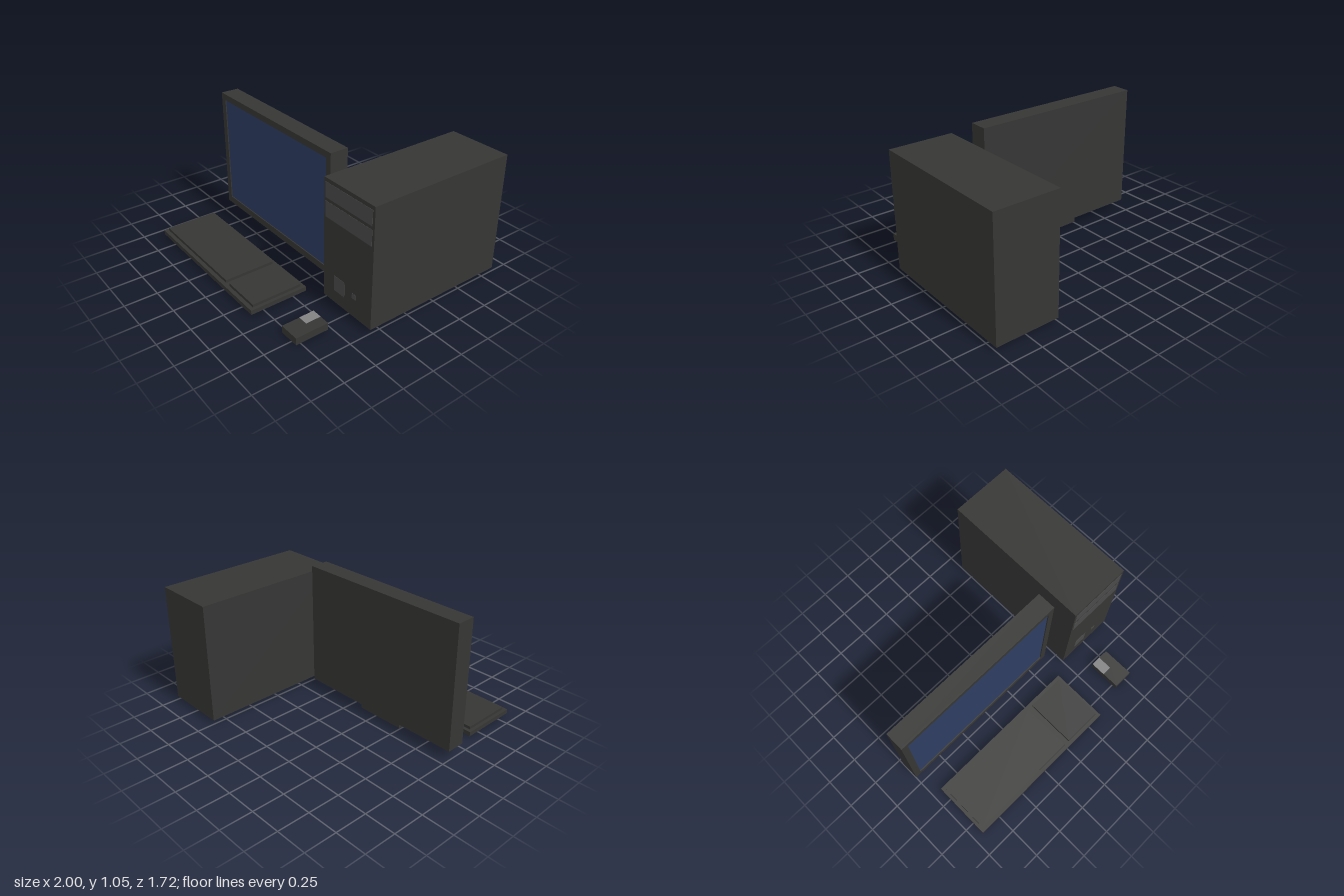
import * as THREE from 'three';

const material = (color) => new THREE.MeshStandardMaterial({ color });

export function createModel() {
  const model = new THREE.Group();
  const dark = material(0x363635);
  const panel = material(0x4a4a4a);
  const light = material(0x828282);
  const blue = material(0x2d3d61);

  const addGroup = (name) => {
    const group = new THREE.Group();
    group.name = name;
    model.add(group);
    return group;
  };

  // Box given by its minimum and maximum on each axis
  const addBox = (parent, name, mat, [x0, x1], [y0, y1], [z0, z1]) => {
    const mesh = new THREE.Mesh(new THREE.BoxGeometry(x1 - x0, y1 - y0, z1 - z0), mat);
    mesh.position.set((x0 + x1) / 2, (y0 + y1) / 2, (z0 + z1) / 2);
    mesh.name = name;
    parent.add(mesh);
  };

  const rectangle = (Type, x0, x1, y0, y1) => new Type([
    new THREE.Vector2(x0, y0), new THREE.Vector2(x1, y0),
    new THREE.Vector2(x1, y1), new THREE.Vector2(x0, y1),
  ]);

  // Monitor: solid back, bezel around a slightly recessed screen, low foot
  const monitor = addGroup('monitor');
  addBox(monitor, 'monitorBack', dark, [-1, 0.405], [0.075, 1.05], [0.06, 0.19]);
  const outline = rectangle(THREE.Shape, -1, 0.405, 0.075, 1.05);
  outline.holes.push(rectangle(THREE.Path, -0.95, 0.355, 0.13, 1.0));
  const bezel = new THREE.Mesh(
    new THREE.ExtrudeGeometry(outline, { depth: 0.015, bevelEnabled: false }), dark);
  bezel.position.z = 0.19;
  bezel.name = 'bezel';
  monitor.add(bezel);
  addBox(monitor, 'screen', blue, [-0.95, 0.355], [0.13, 1.0], [0.185, 0.197]);
  addBox(monitor, 'monitorFoot', dark, [-0.5, -0.1], [0.01, 0.08], [0.1, 0.145]);

  // Computer tower with drive bays and buttons on its front
  const tower = addGroup('tower');
  const front = [0.32, 0.332];
  addBox(tower, 'towerCase', dark, [0.5, 1], [0.03, 0.96], [-0.86, 0.33]);
  addBox(tower, 'upperDriveBay', panel, [0.515, 0.98], [0.815, 0.93], front);
  addBox(tower, 'lowerDriveBay', panel, [0.515, 0.98], [0.67, 0.79], front);
  addBox(tower, 'powerButton', panel, [0.615, 0.725], [0.13, 0.25], front);
  addBox(tower, 'resetButton', panel, [0.805, 0.84], [0.175, 0.215], front);

  // Keyboard: base with a main key field and a number pad
  const keyboard = addGroup('keyboard');
  addBox(keyboard, 'keyboardBase', dark, [-0.925, 0.375], [0.01, 0.045], [0.395, 0.855]);
  addBox(keyboard, 'mainKeys', dark, [-0.9, -0.005], [0.04, 0.068], [0.425, 0.825]);
  addBox(keyboard, 'numberPad', dark, [0.04, 0.35], [0.04, 0.068], [0.425, 0.825]);

  // Mouse with one light button
  const mouse = addGroup('mouse');
  addBox(mouse, 'mouseBody', dark, [0.64, 0.8], [0, 0.056], [0.525, 0.785]);
  addBox(mouse, 'mouseButton', light, [0.64, 0.718], [0.05, 0.058], [0.525, 0.645]);

  return model;
}
